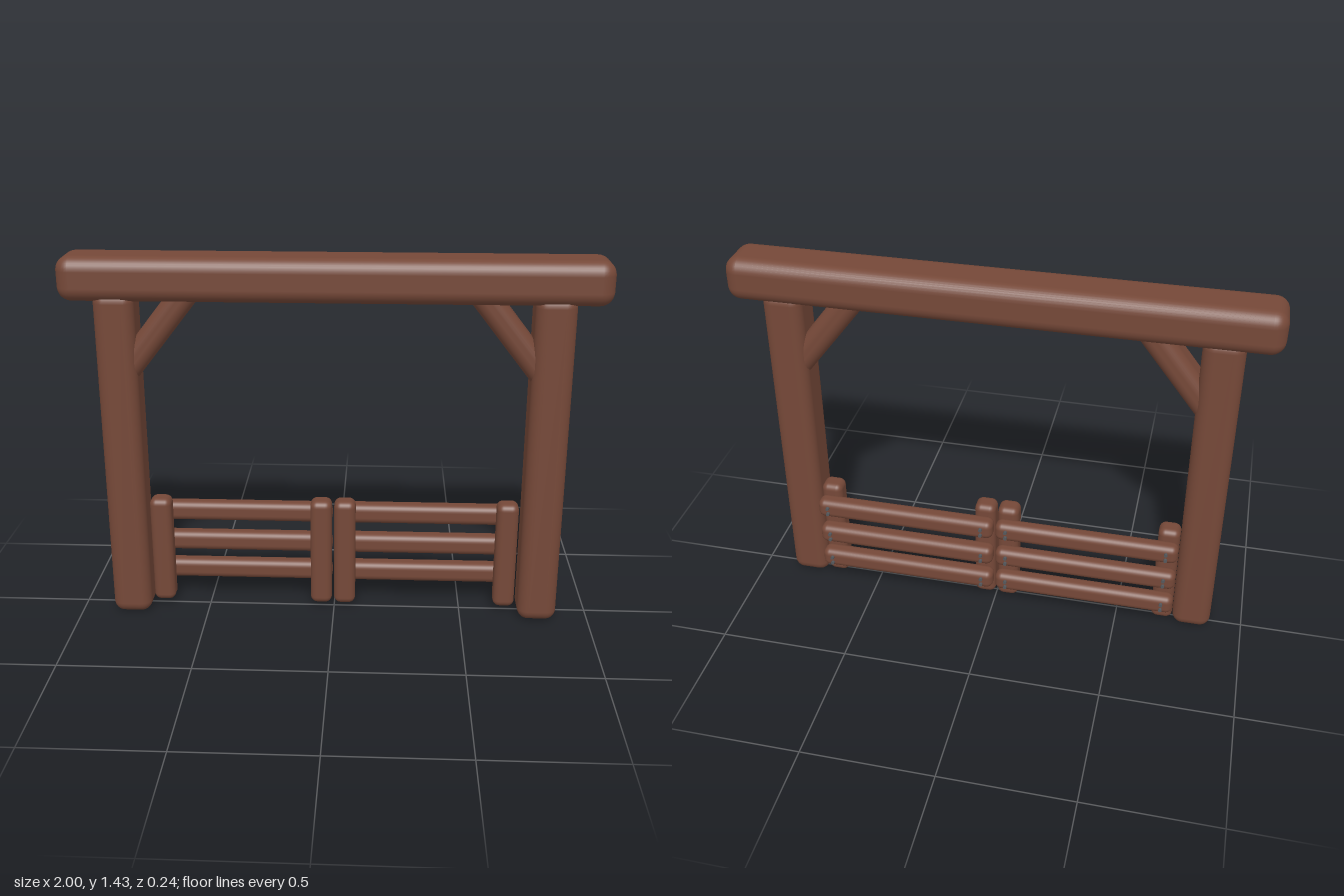
import * as THREE from 'three';
import { RoundedBoxGeometry } from 'three/addons/geometries/RoundedBoxGeometry.js';

export function createModel() {
  const wood = new THREE.MeshStandardMaterial({ color: 0x754838 });
  wood.name = 'brown wood';
  const metal = new THREE.MeshStandardMaterial({ color: 0x55585c });
  metal.name = 'grey metal';

  const model = new THREE.Group();
  model.name = 'gateway';

  // Rounded timber given by its minimum and maximum corners
  function timber(parent, name, [x0, y0, z0], [x1, y1, z1], radius) {
    const geometry = new RoundedBoxGeometry(x1 - x0, y1 - y0, z1 - z0, 4, radius);
    const mesh = new THREE.Mesh(geometry, wood);
    mesh.position.set((x0 + x1) / 2, (y0 + y1) / 2, (z0 + z1) / 2);
    mesh.name = name;
    parent.add(mesh);
    return mesh;
  }

  // Top beam
  timber(model, 'topBeam', [-1, 1.265, -0.08], [1, 1.43, 0.12], 0.052);

  // Posts and corner braces, mirrored
  for (const [side, s] of [['left', 1], ['right', -1]]) {
    const x = s * 0.8;
    timber(model, side + 'Post', [x - 0.075, 0, -0.06], [x + 0.075, 1.3, 0.105], 0.042);

    const brace = new THREE.Mesh(new RoundedBoxGeometry(0.5, 0.1, 0.13, 4, 0.042), wood);
    brace.name = side + 'Brace';
    brace.position.set(s * 0.65, 1.15, 0.022);
    brace.rotation.z = -s * THREE.MathUtils.degToRad(52);
    model.add(brace);
  }

  // Gate leaf: two stiles in front, three rails behind, paired screws at the rail ends
  const screwGeometry = new THREE.CylinderGeometry(0.007, 0.007, 0.022, 10);
  screwGeometry.rotateX(Math.PI / 2);

  function gateLeaf(name, x0, x1, back) {
    const leaf = new THREE.Group();
    leaf.name = name;
    for (const [stile, x] of [['rightStile', x0], ['leftStile', x1 - 0.084]]) {
      timber(leaf, stile, [x, 0.02, -0.052], [x + 0.084, 0.46, 0.03], 0.026);
    }
    for (const y of [0.127, 0.25, 0.38]) {
      timber(leaf, 'rail', [x0, y - 0.04, back], [x1, y + 0.04, -0.04], 0.027);
      for (const x of [x0 + 0.045, x1 - 0.045]) {
        for (const dy of [-0.013, 0.013]) {
          const screw = new THREE.Mesh(screwGeometry, metal);
          screw.name = 'screw';
          screw.position.set(x, y + dy, back + 0.001);
          leaf.add(screw);
        }
      }
    }
    model.add(leaf);
  }
  gateLeaf('rightGateLeaf', -0.724, -0.009, -0.105);
  gateLeaf('leftGateLeaf', 0, 0.718, -0.11);

  return model;
}
